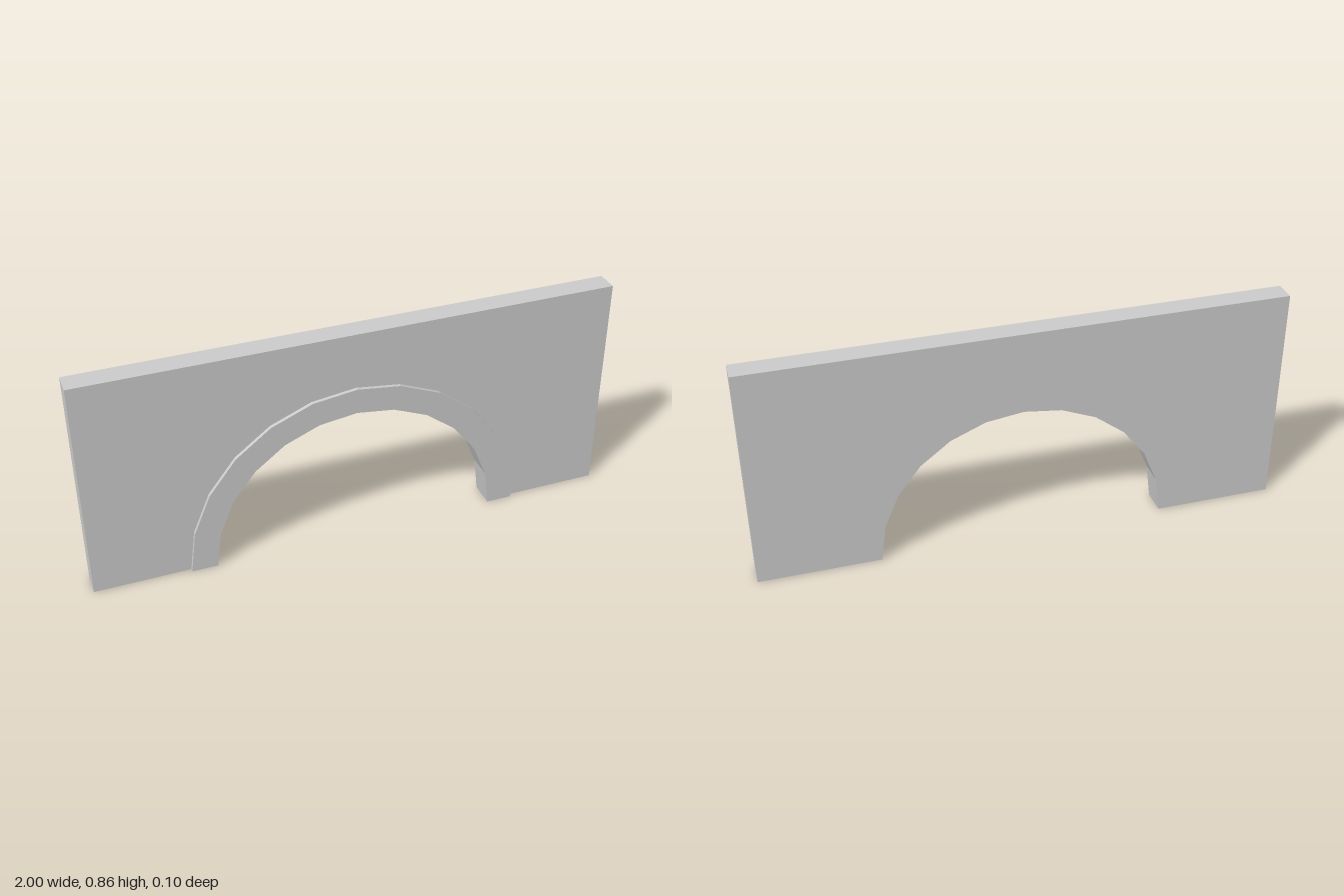
import * as THREE from 'three';

const HEIGHT = 0.857;
const OUTER = 0.642; // outer arch radius, also the seam position
const INNER = 0.544; // opening radius
const BACK = -0.049, FACE = 0.035, TRIM = 0.049;
const SEGMENTS = 12;

// Points of a faceted half circle, from +x over the top to -x
function arc(radius) {
  return Array.from({ length: SEGMENTS + 1 }, (_, i) => {
    const a = (i / SEGMENTS) * Math.PI;
    return new THREE.Vector2(Math.cos(a) * radius, Math.sin(a) * radius);
  });
}

export function createModel() {
  const group = new THREE.Group();
  const material = new THREE.MeshStandardMaterial({ color: 0xcccccc, flatShading: true });

  const add = (name, geometry) => {
    const mesh = new THREE.Mesh(geometry, material);
    mesh.name = name;
    group.add(mesh);
    return mesh;
  };
  const slab = (name, points, z0, z1) => {
    const geometry = new THREE.ExtrudeGeometry(new THREE.Shape(points), { depth: z1 - z0, bevelEnabled: false });
    add(name, geometry.translate(0, 0, z0));
  };

  const depth = FACE - BACK, midZ = (FACE + BACK) / 2;

  // Side piers
  for (const side of [1, -1]) {
    add(side > 0 ? 'leftPier' : 'rightPier', new THREE.BoxGeometry(1 - OUTER, HEIGHT, depth))
      .position.set(side * (1 + OUTER) / 2, HEIGHT / 2, midZ);
  }

  // Lintel panel between the piers
  add('lintel', new THREE.BoxGeometry(OUTER * 2, HEIGHT - OUTER, depth))
    .position.set(0, (HEIGHT + OUTER) / 2, midZ);

  // Wall around the opening
  slab('archWall', [
    new THREE.Vector2(-OUTER, OUTER), new THREE.Vector2(-OUTER, 0),
    ...arc(INNER).reverse(),
    new THREE.Vector2(OUTER, 0), new THREE.Vector2(OUTER, OUTER),
  ], BACK, FACE);

  // Raised band on the front of the arch
  slab('archTrim', [...arc(OUTER), ...arc(INNER).reverse()], FACE, TRIM);

  return group;
}
